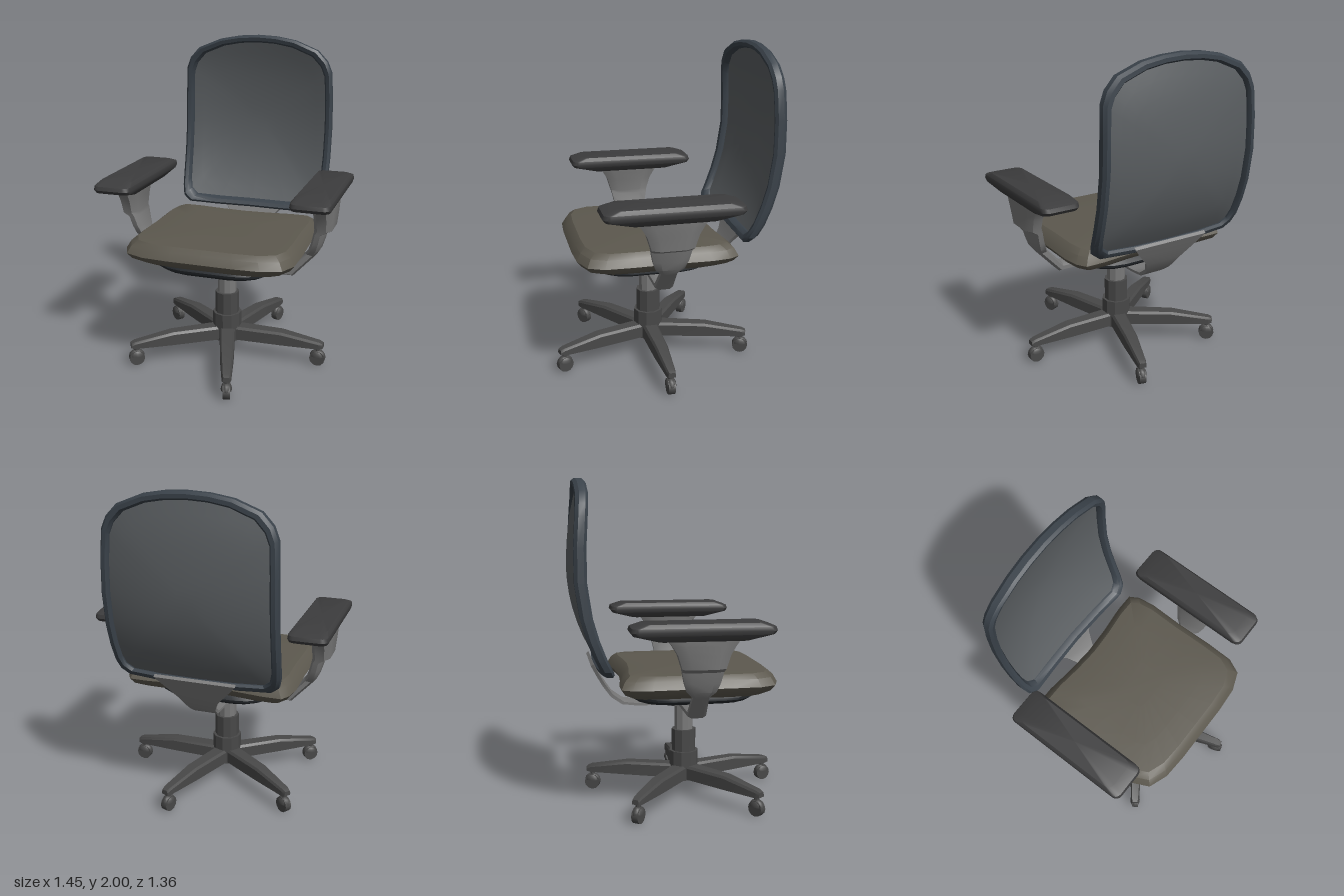
import * as THREE from 'three';
import { toCreasedNormals } from 'three/addons/utils/BufferGeometryUtils.js';

const material = (color) => new THREE.MeshStandardMaterial({ color, side: THREE.DoubleSide });

// Skin a list of equal-length point rings; loop joins last ring to first, otherwise the ends are capped.
function loft(rings, { loop = false, caps = [true, true], crease = 0.6 } = {}) {
  const n = rings[0].length, pts = rings.flat(), idx = [];
  const last = loop ? rings.length : rings.length - 1;
  for (let r = 0; r < last; r++) {
    const a = r * n, b = ((r + 1) % rings.length) * n;
    for (let i = 0; i < n; i++) {
      const j = (i + 1) % n;
      idx.push(a + i, a + j, b + j, a + i, b + j, b + i);
    }
  }
  [0, rings.length - 1].forEach((r, k) => {
    if (loop || !caps[k]) return;
    const c = [0, 1, 2].map((d) => rings[r].reduce((s, p) => s + p[d], 0) / n);
    pts.push(c);
    for (let i = 0; i < n; i++) {
      const p = r * n + i, q = r * n + ((i + 1) % n);
      idx.push(pts.length - 1, k ? p : q, k ? q : p);
    }
  });
  // Turn the faces outward if the enclosed volume is negative.
  let volume = 0;
  const v = pts.map((p) => new THREE.Vector3(...p));
  for (let i = 0; i < idx.length; i += 3)
    volume += v[idx[i]].dot(v[idx[i + 1]].clone().cross(v[idx[i + 2]]));
  if (volume < 0) idx.reverse();
  const g = new THREE.BufferGeometry();
  g.setAttribute('position', new THREE.Float32BufferAttribute(pts.flat(), 3));
  g.setIndex(idx);
  return toCreasedNormals(g, crease);
}

// Horizontal rounded rectangle
function roundRing(hx, hz, r, y, cx = 0, cz = 0) {
  const out = [];
  [[1, 1], [-1, 1], [-1, -1], [1, -1]].forEach(([sx, sz], q) => {
    for (let k = 0; k < 5; k++) {
      const t = ((q + k / 4) * Math.PI) / 2;
      out.push([cx + sx * (hx - r) + r * Math.cos(t), y, cz + sz * (hz - r) + r * Math.sin(t)]);
    }
  });
  return out;
}

// Complete a half outline (first and last points on x = 0)
const mirrorOutline = (half) => [...half, ...half.slice(1, -1).reverse().map(([x, y]) => [-x, y])];

export function createModel() {
  const chair = new THREE.Group();
  chair.name = 'officeChair';
  const mat = {
    seat: material(0x5c584e), frame: material(0x3a424a), panel: material(0x5a5e61),
    pad: material(0x3c3c3d), bracket: material(0x7a7a7a), base: material(0x484848), under: material(0x262a2e),
  };
  const add = (name, geometry, m, parent = chair) => {
    const mesh = new THREE.Mesh(geometry, m);
    mesh.name = name;
    parent.add(mesh);
    return mesh;
  };
  const cylinder = (r0, r1, y0, y1, sides) =>
    toCreasedNormals(new THREE.CylinderGeometry(r1, r0, y1 - y0, sides).translate(0, (y0 + y1) / 2, 0), 0.4);
  const CZ = 0.055;

  // Seat cushion
  const seatOutline = mirrorOutline([
    [0, 0.57], [0.2, 0.57], [0.36, 0.56], [0.48, 0.515], [0.525, 0.42], [0.53, 0.25], [0.525, 0],
    [0.53, -0.22], [0.515, -0.33], [0.48, -0.39], [0.36, -0.39], [0.18, -0.37], [0, -0.36],
  ]);
  const seatLayers = [[0.72, 0.09], [0.755, 0.025], [0.79, 0], [0.835, 0.025], [0.862, 0.06], [0.872, 0.2], [0.875, 0.4]];
  add('seatCushion', loft(seatLayers.map(([y, inset]) =>
    seatOutline.map(([x, z]) => [x * (1 - inset / 0.53), y, 0.08 + (z - 0.08) * (1 - inset / 0.5)])), { crease: 0.5 }), mat.seat);

  // Shell under the seat
  add('seatShell', loft([[0.64, 0.24, 0.29], [0.66, 0.34, 0.35], [0.685, 0.385, 0.385], [0.7, 0.385, 0.39], [0.73, 0.37, 0.375]]
    .map(([y, hx, hz]) => roundRing(hx, hz, hx * 0.6, y, 0, 0.08))), mat.under);

  // Backrest surface: curved in side view and bowed across
  const spine = new THREE.SplineCurve([-0.455, -0.55, -0.615, -0.645, -0.645, -0.63, -0.6]
    .map((z, i) => new THREE.Vector2(0.8 + i * 0.2, z)));
  const backZ = (x, y) => spine.getPoint(THREE.MathUtils.clamp((y - 0.8) / 1.2, 0, 1)).y + 0.035 * (x / 0.515) ** 2;
  const backOutline = mirrorOutline([
    [0, 2], [0.13, 1.993], [0.26, 1.97], [0.41, 1.91], [0.475, 1.84], [0.503, 1.77], [0.512, 1.6], [0.515, 1.4],
    [0.515, 1.2], [0.512, 1.07], [0.505, 0.96], [0.488, 0.895], [0.44, 0.857], [0.25, 0.85], [0, 0.85],
  ]);
  const insetBack = ([x, y], u) => [x * (1 - u / 0.515), 1.425 + (y - 1.425) * (1 - u / 0.575)];
  const frameSection = [[0, -0.018], [0, 0.018], [0.014, 0.036], [0.036, 0.034], [0.048, 0.012],
    [0.048, -0.012], [0.036, -0.034], [0.014, -0.036]];
  add('backFrame', loft(backOutline.map((p) => frameSection.map(([u, v]) => {
    const [x, y] = insetBack(p, u);
    return [x, y, backZ(x, y) + v];
  })), { loop: true }), mat.frame);

  // Backrest panel, slightly bulged to the rear
  add('backPanel', loft([1, 0.85, 0.7, 0.55, 0.4, 0.25, 0.1].map((s) => backOutline.map((p) => {
    const [px, py] = insetBack(p, 0.04);
    const x = px * s, y = 1.425 + (py - 1.425) * s;
    return [x, y, backZ(x, y) - 0.025 * (1 - s * s)];
  })), { caps: [false, true] }), mat.panel);

  // Flared strut from the mechanism to the backrest
  const strut = [[0.61, -0.05, 0.08], [0.613, -0.25, 0.075], [0.625, -0.34, 0.078], [0.675, -0.41, 0.085],
    [0.75, -0.462, 0.12], [0.83, -0.505, 0.19], [0.9, -0.54, 0.25]];
  add('backStrut', loft(strut.map(([y, z, w]) =>
    [[-w, y - 0.007, z - 0.007], [w, y - 0.007, z - 0.007], [w, y + 0.007, z + 0.007], [-w, y + 0.007, z + 0.007]])), mat.bracket);

  // Mechanism plate
  add('mechanismPlate', loft([[0.6, 0.12, 0.13], [0.612, 0.15, 0.165], [0.63, 0.15, 0.165], [0.645, 0.12, 0.14]]
    .map(([y, hx, hz]) => roundRing(hx, hz, 0.1, y, 0, CZ))), mat.bracket);

  // Arm brackets and pads: stations are inner x,y, outer x,y, half depth
  const armStations = [
    [0, 0.645, 0, 0.6, 0.055], [0.415, 0.647, 0.44, 0.6, 0.055], [0.515, 0.755, 0.575, 0.745, 0.048],
    [0.535, 0.785, 0.603, 0.785, 0.085], [0.555, 0.84, 0.62, 0.84, 0.105], [0.572, 0.91, 0.635, 0.905, 0.12],
    [0.574, 0.93, 0.683, 0.93, 0.125], [0.57, 1.01, 0.69, 1.01, 0.15], [0.567, 1.06, 0.692, 1.06, 0.18],
    [0.565, 1.1, 0.692, 1.1, 0.21],
  ];
  const padLayers = [[1.09, 0.085, 0.26], [1.125, 0.113, 0.395], [1.145, 0.118, 0.41], [1.168, 0.116, 0.402], [1.19, 0.1, 0.34]];
  for (const s of [1, -1]) {
    const arm = new THREE.Group();
    arm.name = s > 0 ? 'leftArm' : 'rightArm';
    chair.add(arm);
    add('armBracket', loft(armStations.map(([xi, yi, xo, yo, d]) =>
      [[0, 0.6], [0.25, 1], [0.75, 1], [1, 0.6], [1, -0.6], [0.75, -1], [0.25, -1], [0, -0.6]].map(([t, k]) =>
        [s * (xi + (xo - xi) * t), yi + (yo - yi) * t, CZ + k * d]))), mat.bracket, arm);
    add('armPad', loft(padLayers.map(([y, hx, hz]) => roundRing(hx, hz, 0.04, y, s * 0.607, 0.05))), mat.pad, arm);
  }

  // Central column
  const base = new THREE.Group();
  base.name = 'base';
  base.position.z = CZ;
  chair.add(base);
  add('gasLift', cylinder(0.06, 0.06, 0.4, 0.62, 10), mat.bracket, base);
  add('columnSleeve', cylinder(0.077, 0.077, 0.27, 0.43, 10), mat.base, base);
  add('hub', cylinder(0.093, 0.093, 0.105, 0.29, 10), mat.base, base);

  // Five legs with casters: stations are radius, half width, bottom, top
  const legStations = [[0.04, 0.05, 0.112, 0.2], [0.37, 0.042, 0.115, 0.2], [0.615, 0.028, 0.117, 0.163], [0.64, 0.022, 0.122, 0.152]];
  for (let i = 0; i < 5; i++) {
    const leg = new THREE.Group();
    leg.name = 'leg' + (i + 1);
    leg.rotation.y = (i * 2 * Math.PI) / 5;
    base.add(leg);
    add('legBeam', loft(legStations.map(([x, w, y0, y1]) =>
      [[x, y0, -w], [x, y0, w], [x, y1 - 0.015, w], [x, y1, w * 0.75], [x, y1, -w * 0.75], [x, y1 - 0.015, -w]]),
    { crease: 0.4 }), mat.base, leg);
    add('casterStem', cylinder(0.016, 0.016, 0.09, 0.125, 8).translate(0.605, 0, 0), mat.base, leg);
    const hood = new THREE.SphereGeometry(1, 12, 4, 0, Math.PI * 2, 0, Math.PI / 2).scale(0.05, 0.045, 0.034);
    add('casterHood', hood.translate(0.605, 0.06, 0), mat.base, leg);
    const wheel = new THREE.CylinderGeometry(0.049, 0.049, 0.042, 12).rotateX(Math.PI / 2).translate(0.605, 0.049, 0);
    add('casterWheel', toCreasedNormals(wheel, 0.6), mat.base, leg);
  }
  return chair;
}
